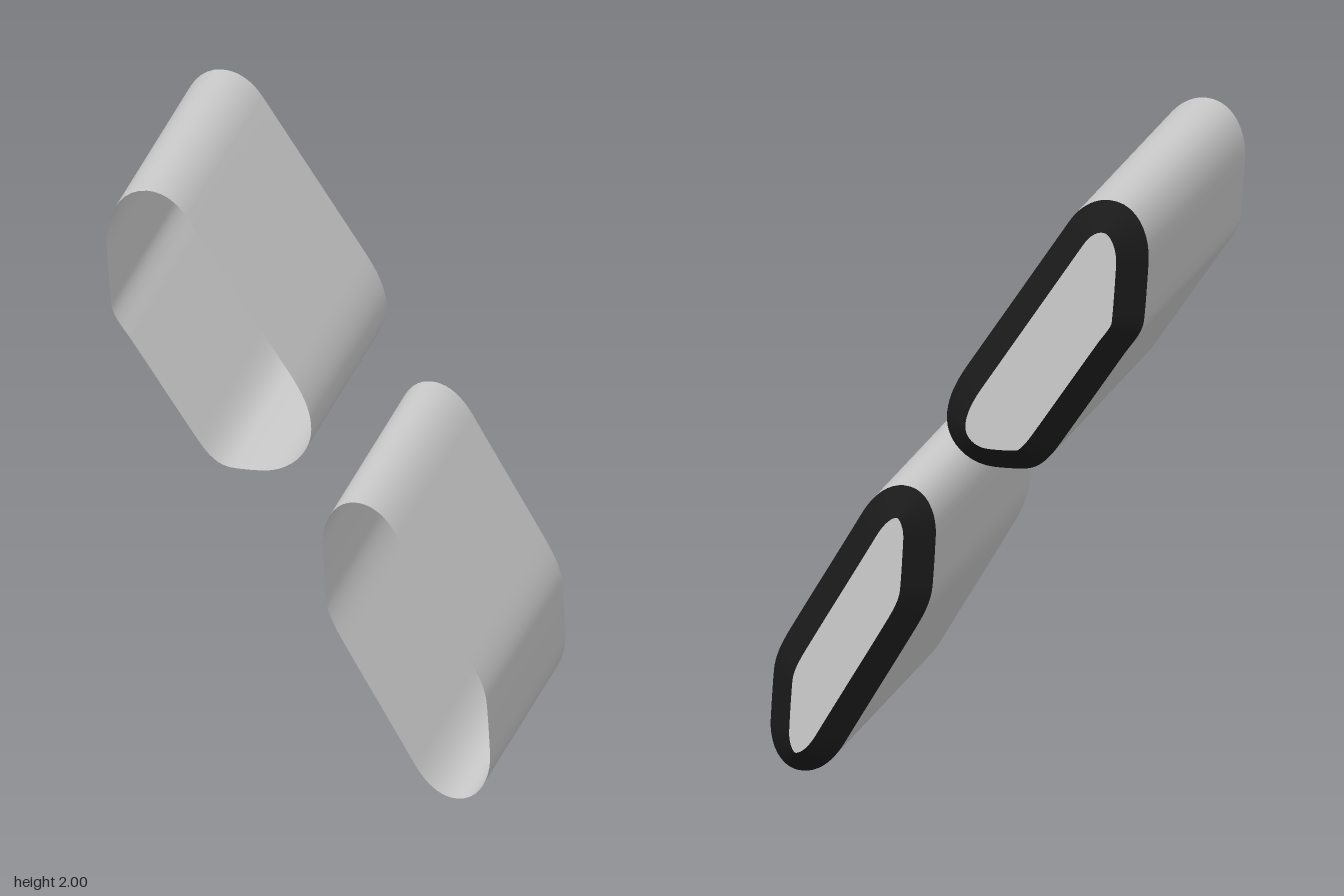
import * as THREE from 'three';

const FRONT = 0.625, SHOULDER = -0.54, BACK = -0.625, BEVEL = 0.085;

const grey = new THREE.MeshStandardMaterial({ color: 0xcccccc, side: THREE.DoubleSide });
const black = new THREE.MeshStandardMaterial({ color: 0x1a1a1a, side: THREE.DoubleSide });

// Outline knots: x, y, travel direction in degrees (counterclockwise seen from the front)
const upperKnots = [
  [-0.5, 2.0, 180], [-0.632, 1.8, -86], [-0.617, 1.606, -84], [-0.553, 1.49, -56],
  [-0.347, 1.183, -56], [-0.22, 1.075, -5], [-0.114, 1.073, 3], [0.04, 1.225, 90],
  [-0.034, 1.415, 123.6], [-0.368, 1.918, 123.6],
];

// The lower outline repeats its first half turned by 180 degrees
const lowerHalf = [
  [0.183, 0.986, 180], [0.077, 0.825, -87], [0.088, 0.654, -85], [0.146, 0.506, -60], [0.379, 0.108, -60],
];
const lowerKnots = [...lowerHalf, ...lowerHalf.map(([x, y, a]) => [0.704 - x, 0.986 - y, a + 180])];

// Smooth closed outline through the knots; inset moves it inward along its normal
function outline(knots, inset = 0, steps = 10) {
  const points = [];
  knots.forEach(([x, y, a], i) => {
    const [x2, y2, a2] = knots[(i + 1) % knots.length];
    const p = new THREE.Vector2(x, y), q = new THREE.Vector2(x2, y2);
    const t1 = THREE.MathUtils.degToRad(a), t2 = THREE.MathUtils.degToRad(a2);
    // handle length that reproduces a circular arc for this turn
    const turn = Math.acos(THREE.MathUtils.clamp(Math.cos(t2 - t1), -1, 1));
    const k = p.distanceTo(q) / (3 * Math.cos(turn / 4) ** 2);
    const curve = new THREE.CubicBezierCurve(
      p,
      new THREE.Vector2(x + k * Math.cos(t1), y + k * Math.sin(t1)),
      new THREE.Vector2(x2 - k * Math.cos(t2), y2 - k * Math.sin(t2)),
      q
    );
    for (let s = 0; s < steps; s++) {
      const c = curve.getPoint(s / steps), t = curve.getTangent(s / steps);
      points.push(new THREE.Vector2(c.x - t.y * inset, c.y + t.x * inset));
    }
  });
  return points;
}

// Band of faces joining two closed rings
function band(ringA, zA, ringB, zB) {
  const n = ringA.length, position = [], index = [];
  ringA.forEach(p => position.push(p.x, p.y, zA));
  ringB.forEach(p => position.push(p.x, p.y, zB));
  for (let i = 0; i < n; i++) {
    const j = (i + 1) % n;
    index.push(i, n + i, j, j, n + i, n + j);
  }
  const geometry = new THREE.BufferGeometry();
  geometry.setAttribute('position', new THREE.Float32BufferAttribute(position, 3));
  geometry.setIndex(index);
  geometry.computeVertexNormals();
  return geometry;
}

// Hollow sleeve, open at the front, with a bevelled rim and a flat panel at the back
function sleeve(name, knots) {
  const group = new THREE.Group();
  group.name = name;
  const outer = outline(knots), inner = outline(knots, BEVEL);
  const add = (part, geometry, material) => {
    const mesh = new THREE.Mesh(geometry, material);
    mesh.name = part;
    group.add(mesh);
    return mesh;
  };
  add('sleeveWall', band(outer, FRONT, outer, SHOULDER), grey);
  add('bevelledRim', band(outer, SHOULDER, inner, BACK), black);
  add('backPanel', new THREE.ShapeGeometry(new THREE.Shape(inner)), grey).position.z = BACK;
  return group;
}

export function createModel() {
  const model = new THREE.Group();
  model.name = 'twinSleeves';
  model.add(sleeve('upperSleeve', upperKnots), sleeve('lowerSleeve', lowerKnots));
  return model;
}
